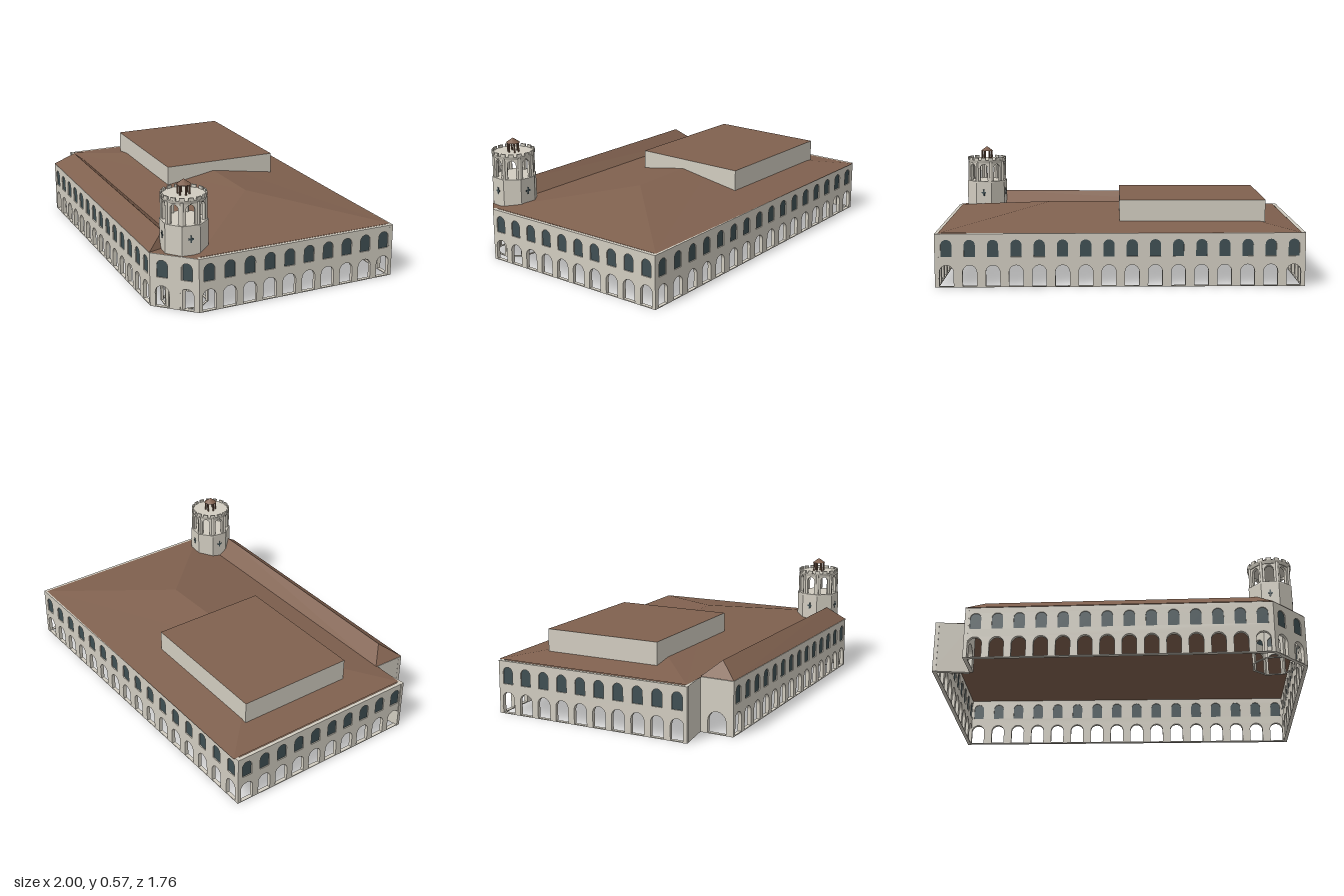
import * as THREE from 'three';

const stone = new THREE.MeshStandardMaterial({ color: 0xd1ccc0, side: THREE.DoubleSide });
stone.name = 'pale stone';
const tile = new THREE.MeshStandardMaterial({ color: 0x80614f, side: THREE.DoubleSide });
tile.name = 'brown roof';
const glass = new THREE.MeshStandardMaterial({ color: 0x3f4f53 });
glass.name = 'dark glass';

function add(parent, geo, mat, name, x = 0, y = 0, z = 0) {
  const m = new THREE.Mesh(geo, mat);
  m.name = name;
  m.position.set(x, y, z);
  parent.add(m);
  return m;
}

// Round-headed outline, used for arches and windows
function archPath(P, c, y0, w, top) {
  const r = w / 2, p = new P();
  p.moveTo(c - r, y0);
  p.lineTo(c + r, y0);
  p.lineTo(c + r, top - r);
  p.absarc(c, top - r, r, 0, Math.PI, false);
  p.closePath();
  return p;
}

// Wall from p to q (outside on the right-hand side of the plan) with open
// ground arches on a thin sill and glazed upper windows, one of each per bay
function wall(parent, name, p, q, bays, o = {}) {
  const { h = 0.252, y = 0, t = 0.018, archW = 0.066, archTop = 0.104, windows = true } = o;
  const dx = q[0] - p[0], dz = q[1] - p[1], L = Math.hypot(dx, dz);
  const g = new THREE.Group();
  g.name = name;
  g.position.set(p[0], y, p[1]);
  g.rotation.y = -Math.atan2(dz, dx);
  parent.add(g);
  const s = new THREE.Shape();
  s.moveTo(0, 0);
  s.lineTo(L, 0);
  s.lineTo(L, h);
  s.lineTo(0, h);
  s.closePath();
  const panes = [];
  for (let i = 0; i < bays; i++) {
    const c = (i + 0.5) * L / bays;
    s.holes.push(archPath(THREE.Path, c, 0.004, archW, archTop));
    if (windows) {
      s.holes.push(archPath(THREE.Path, c, 0.143, 0.052, 0.224));
      panes.push(archPath(THREE.Shape, c, 0.143, 0.052, 0.224));
    }
  }
  const opt = { depth: t, bevelEnabled: false, curveSegments: 8 };
  add(g, new THREE.ExtrudeGeometry(s, opt), stone, name + 'Masonry', 0, 0, -t);
  if (panes.length) {
    add(g, new THREE.ExtrudeGeometry(panes, { ...opt, depth: 0.008 }), glass, name + 'Windows', 0, 0, -t / 2 - 0.004);
  }
}

// Flat-sided surface from polygons of [x, y, z] corners
function facets(polys) {
  const v = [];
  for (const f of polys)
    for (let i = 1; i < f.length - 1; i++) v.push(...f[0], ...f[i], ...f[i + 1]);
  const g = new THREE.BufferGeometry();
  g.setAttribute('position', new THREE.Float32BufferAttribute(v, 3));
  g.computeVertexNormals();
  return g;
}

function buildTower(root) {
  const t = new THREE.Group();
  t.name = 'tower';
  t.position.set(0.382, 0, 0.742);
  root.add(t);
  const apo = 0.1, step = Math.PI / 4, turn = 10 * Math.PI / 180;
  const corner = (a, r) => [Math.sin(a) * r / Math.cos(step / 2), Math.cos(a) * r / Math.cos(step / 2)];
  for (let i = 0; i < 8; i++) {
    const a = turn + i * step;
    const side = r => [corner(a - step / 2, r), corner(a + step / 2, r)];
    // shaft side and belfry side
    wall(t, 'towerShaft', ...side(apo), 1, { h: 0.39, t: 0.01, archW: 0.056 });
    wall(t, 'belfryArch', ...side(0.092), 1, { h: 0.115, y: 0.385, t: 0.014, archW: 0.04, archTop: 0.096, windows: false });
    // slim pier at each belfry corner
    const [px, pz] = corner(a + step / 2, 0.09);
    add(t, new THREE.CylinderGeometry(0.007, 0.007, 0.11, 8), stone, 'belfryPier', px, 0.44, pz);
    // cross-shaped slits on alternate sides
    if (i % 2) {
      const g = new THREE.Group();
      g.name = 'crossWindow';
      g.position.set(Math.sin(a) * apo, 0.328, Math.cos(a) * apo);
      g.rotation.y = a;
      t.add(g);
      add(g, new THREE.BoxGeometry(0.008, 0.034, 0.004), glass, 'crossUpright');
      add(g, new THREE.BoxGeometry(0.024, 0.009, 0.004), glass, 'crossBar');
    }
  }
  const R = apo / Math.cos(step / 2);
  add(t, new THREE.CylinderGeometry(R, R, 0.008, 8), stone, 'belfryFloor', 0, 0.386, 0).rotation.y = turn + step / 2;
  // round parapet deck with merlons
  add(t, new THREE.CylinderGeometry(0.104, 0.098, 0.016, 32), stone, 'parapetDeck', 0, 0.495, 0);
  for (let i = 0; i < 16; i++) {
    const a = turn + i * Math.PI / 8;
    add(t, new THREE.BoxGeometry(0.024, 0.014, 0.008), stone, 'merlon',
      Math.sin(a) * 0.099, 0.509, Math.cos(a) * 0.099).rotation.y = a;
  }
  // cupola
  for (let i = 0; i < 6; i++) {
    const a = i * Math.PI / 3;
    add(t, new THREE.CylinderGeometry(0.004, 0.004, 0.048, 6), tile, 'cupolaPost',
      Math.sin(a) * 0.026, 0.526, Math.cos(a) * 0.026);
  }
  add(t, new THREE.CylinderGeometry(0.003, 0.034, 0.022, 8), tile, 'cupolaRoof', 0, 0.559, 0);
}

export function createModel() {
  const root = new THREE.Group();
  root.name = 'arcadedBuilding';

  // Outer walls, in plan
  const A = [-0.515, -0.88], B = [0.998, -0.052], C = [0.517, 0.814], D = [0.296, 0.879];
  const E = [-0.925, 0.174], F = [-0.84, 0.035], G = [-1, -0.03];
  wall(root, 'frontWall', E, D, 14);
  wall(root, 'cornerWall', D, C, 2);
  wall(root, 'rightWall', C, B, 10);
  wall(root, 'backWall', B, A, 16);
  wall(root, 'leftWall', A, G, 10);
  wall(root, 'notchWall', G, F, 0);
  wall(root, 'wingEndWall', F, E, 1, { archW: 0.09, windows: false });

  // Level ceiling under the roofs
  const plan = new THREE.Shape([A, B, C, D, E, F, G].map(k => new THREE.Vector2(...k).multiplyScalar(0.995)));
  add(root, new THREE.ShapeGeometry(plan).rotateX(Math.PI / 2), tile, 'ceiling', 0, 0.247, 0);

  // Hipped main roof, set in behind the end walls
  const at = ([x, z], y = 0.254) => [x, y, z];
  const a = at([-0.492, -0.88]), b = at([0.98, -0.052]), c = at([0.502, 0.807]), g = at([-0.975, -0.032]);
  const p = at([-0.29, -0.175], 0.335), q = at([0.3, 0.14], 0.335);
  add(root, facets([[g, c, q, p], [c, b, q], [b, a, p, q], [a, g, p]]), tile, 'mainRoof');

  // Narrow front wing roof
  const r = at([-0.815, 0.135], 0.32), s = at([0.285, 0.775], 0.32);
  const d = at(D), e = at(E), f = at(F), v = at([0.33, 0.705]);
  add(root, facets([[e, d, s, r], [e, r, f], [f, r, s, v], [d, at(C), c, v, s]]), tile, 'wingRoof');

  // Raised block on the main roof
  const block = add(root, new THREE.BoxGeometry(0.697, 0.107, 0.577),
    [stone, stone, tile, tile, stone, stone], 'roofBlock', -0.29, 0.3305, -0.23);
  block.rotation.y = -29.8 * Math.PI / 180;

  buildTower(root);
  return root;
}
